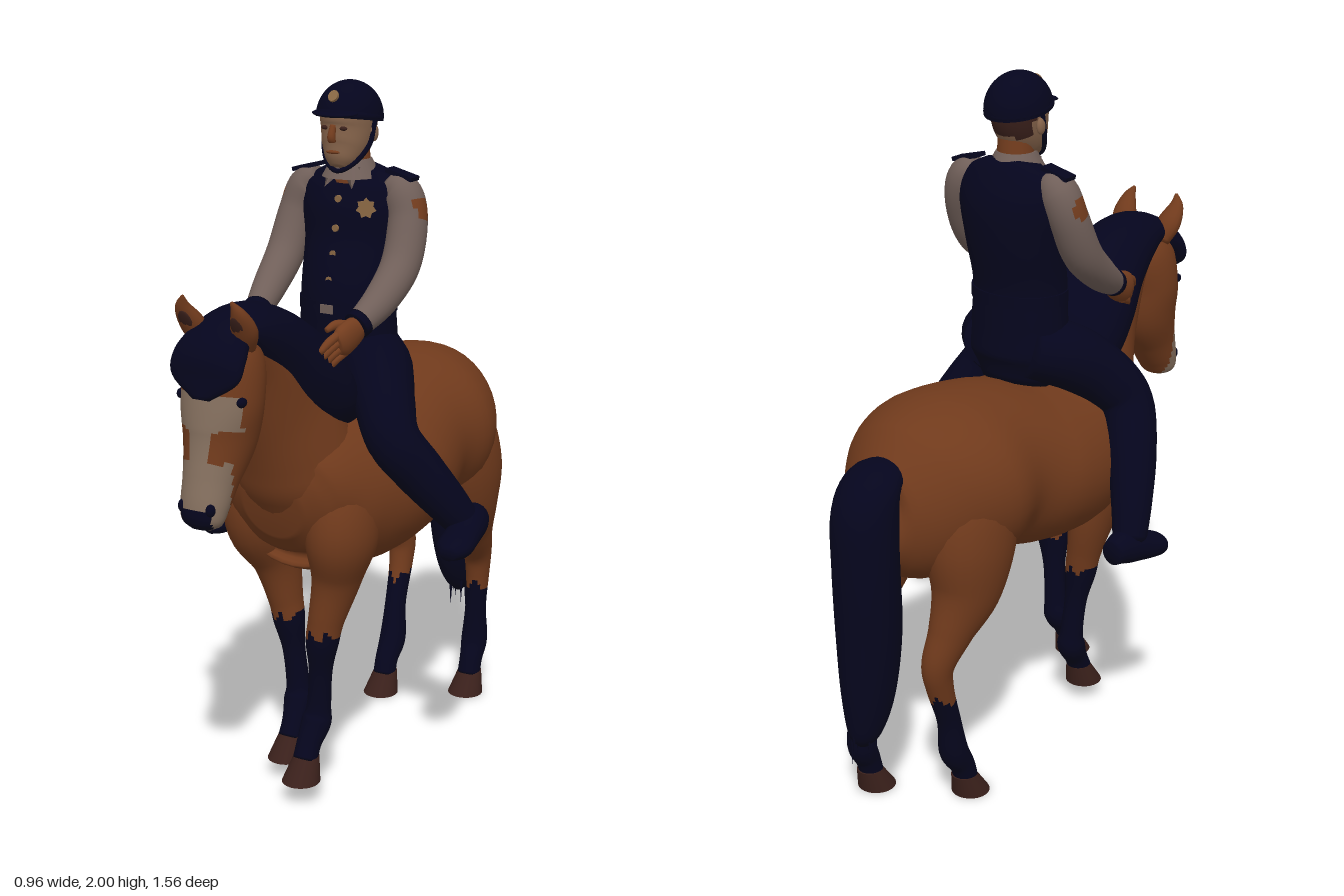
import * as THREE from 'three';

const CX = -0.03; // the plane of symmetry sits slightly off centre
const mat = (name, color) => {
  const m = new THREE.MeshStandardMaterial({ color });
  m.name = name;
  return m;
};
const M = {
  coat: mat('chestnut coat', 0x703a1c),
  navy: mat('navy cloth and hair', 0x05051d),
  shirt: mat('shirt grey', 0x705f59),
  pale: mat('pale markings', 0x846f5e),
  hoof: mat('hoof brown', 0x3a201b),
  skin: mat('skin', 0x86644b),
  tan: mat('hand skin', 0x743d1e),
  gold: mat('brass', 0x8a6844),
};

// Smooth tube through sections [x, y, z, halfWidth, halfDepth]; paint(p) picks a material per face.
function loft(name, secs, mats, paint = () => 0, radial = 24, per = 5) {
  const list = Array.isArray(mats) ? mats : [mats];
  const centre = new THREE.CatmullRomCurve3(secs.map(s => new THREE.Vector3(s[0], s[1], s[2])), false, 'catmullrom', 0.5);
  const size = new THREE.CatmullRomCurve3(secs.map(s => new THREE.Vector3(s[3], s[4] ?? s[3], 0)), false, 'catmullrom', 0.5);
  const n = (secs.length - 1) * per, pts = [];
  for (let i = -1; i <= n + 1; i++) {
    const t = Math.min(Math.max(i / n, 0), 1);
    const c = centre.getPoint(t), r = size.getPoint(t);
    if (i < 0 || i > n) r.set(0, 0, 0); // closes the ends
    const dir = centre.getTangent(t);
    const side = new THREE.Vector3(1, 0, 0).addScaledVector(dir, -dir.x).normalize();
    const up = dir.clone().cross(side);
    for (let j = 0; j < radial; j++) {
      const a = j / radial * Math.PI * 2;
      pts.push(c.clone().addScaledVector(side, Math.cos(a) * r.x).addScaledVector(up, Math.sin(a) * r.y));
    }
  }
  const faces = list.map(() => []);
  for (let i = 0; i < n + 2; i++) for (let j = 0; j < radial; j++) {
    const k = (j + 1) % radial;
    const a = i * radial + j, b = i * radial + k, c = b + radial, d = a + radial;
    const mid = pts[a].clone().add(pts[b]).add(pts[c]).add(pts[d]).multiplyScalar(0.25);
    faces[paint(mid)].push(a, b, c, a, c, d);
  }
  const g = new THREE.BufferGeometry().setFromPoints(pts);
  g.setIndex(faces.flat());
  let start = 0;
  faces.forEach((f, i) => { g.addGroup(start, f.length, i); start += f.length; });
  g.computeVertexNormals();
  const mesh = new THREE.Mesh(g, list.length > 1 ? list : list[0]);
  mesh.name = name;
  return mesh;
}

function part(name, geo, material, pos, scale = [1, 1, 1], rot = [0, 0, 0]) {
  const m = new THREE.Mesh(geo, material);
  m.name = name;
  m.position.set(...pos);
  m.scale.set(...scale);
  m.rotation.set(...rot);
  return m;
}
const mirror = secs => secs.map(([x, ...rest]) => [2 * CX - x, ...rest]);
const ball = new THREE.SphereGeometry(1, 20, 14);

function buildHorse() {
  const h = new THREE.Group();
  h.name = 'horse';
  // Barrel: [z, top, bottom, halfWidth]
  const barrel = [[-0.65, 0.98, 0.84, 0.05], [-0.62, 1.05, 0.76, 0.12], [-0.52, 1.13, 0.69, 0.21], [-0.37, 1.18, 0.69, 0.28],
    [-0.23, 1.17, 0.70, 0.265], [-0.08, 1.13, 0.655, 0.295], [0.06, 1.115, 0.635, 0.293], [0.2, 1.13, 0.65, 0.262],
    [0.3, 1.12, 0.69, 0.225], [0.37, 1.05, 0.73, 0.17], [0.41, 0.97, 0.79, 0.09]];
  h.add(loft('body', barrel.map(([z, t, b, w]) => [CX, (t + b) / 2, z, w, (t - b) / 2]), M.coat, undefined, 40));
  h.add(loft('neck', [[CX, 0.82, 0.25, 0.13, 0.12], [CX, 0.95, 0.272, 0.175, 0.168], [CX, 1.06, 0.31, 0.155, 0.167],
    [CX, 1.18, 0.375, 0.12, 0.145], [CX, 1.31, 0.46, 0.1, 0.11], [CX, 1.4, 0.56, 0.08, 0.08]], M.coat, undefined, 32));

  // Head with broken pale blaze and dark nose
  const facePaint = p => {
    const d = Math.abs(p.x - CX);
    if (p.y < 0.985 && p.z > 0.745 && d < 0.045) return 2;
    if (p.y < 1.1 && p.z > 0.702) return 1;
    if (p.y < 1.2 && d < 0.03 && p.z > 0.7) return 1;
    return p.y > 1.185 && p.y < 1.28 && p.z > 0.68 ? 1 : 0;
  };
  h.add(loft('head', [[CX, 1.45, 0.59, 0.05, 0.03], [CX, 1.36, 0.61, 0.1, 0.095], [CX, 1.25, 0.63, 0.113, 0.1],
    [CX, 1.15, 0.645, 0.098, 0.1], [CX, 1.05, 0.69, 0.076, 0.073], [CX, 0.98, 0.722, 0.067, 0.056],
    [CX, 0.94, 0.735, 0.056, 0.042], [CX, 0.922, 0.74, 0.025, 0.02]], [M.coat, M.pale, M.navy], facePaint, 36, 8));
  for (const s of [-1, 1]) {
    h.add(part('eye', ball, M.navy, [CX + s * 0.093, 1.26, 0.68], [0.012, 0.014, 0.017]));
    h.add(part('nostril', ball, M.navy, [CX + s * 0.043, 0.985, 0.757], [0.013, 0.018, 0.014]));
    h.add(loft('ear', [[CX + s * 0.065, 1.39, 0.62, 0.03, 0.025], [CX + s * 0.08, 1.44, 0.645, 0.038, 0.028],
      [CX + s * 0.085, 1.485, 0.675, 0.024, 0.018], [CX + s * 0.075, 1.52, 0.692, 0.004, 0.004]], M.coat, undefined, 14));
    h.add(part('earHollow', ball, M.hoof, [CX + s * 0.08, 1.45, 0.674], [0.02, 0.035, 0.006], [0.5, 0, 0]));
  }
  // Mane hangs over both sides of the neck and runs over the poll into the forelock
  h.add(loft('mane', [[CX, 1.09, 0.15, 0.12, 0.06], [CX, 1.165, 0.235, 0.163, 0.115], [CX, 1.25, 0.32, 0.158, 0.125],
    [CX, 1.34, 0.42, 0.13, 0.108], [CX, 1.4, 0.53, 0.105, 0.083], [CX, 1.415, 0.62, 0.09, 0.05],
    [CX, 1.37, 0.685, 0.108, 0.045], [CX, 1.315, 0.71, 0.1, 0.026], [CX, 1.265, 0.728, 0.025, 0.012]], M.navy, undefined, 32));
  h.add(loft('tail', [[CX, 1.02, -0.57, 0.06, 0.05], [CX, 1.02, -0.64, 0.085, 0.055], [CX - 0.005, 0.95, -0.685, 0.092, 0.088],
    [CX - 0.01, 0.8, -0.695, 0.092, 0.09], [CX - 0.01, 0.6, -0.69, 0.088, 0.092], [CX - 0.01, 0.42, -0.7, 0.07, 0.08],
    [CX - 0.01, 0.31, -0.72, 0.045, 0.05], [CX - 0.01, 0.27, -0.725, 0.015, 0.02]], M.navy));
  for (let i = 0; i < 7; i++) {
    h.add(part('tailStrand', new THREE.ConeGeometry(0.009, 0.14, 6), M.navy,
      [CX - 0.01 + 0.03 * Math.sin(i * 2.4), 0.295 + 0.015 * Math.cos(i * 3), -0.765 + i * 0.014], [1, 1, 1], [Math.PI, 0, 0]));
  }

  // Legs: sections from top to pastern, the foot carried by dz along z
  const foreLeg = [[0.07, 1.02, 0.21, 0.03, 0.04], [0.1, 0.92, 0.255, 0.083, 0.1], [0.113, 0.79, 0.275, 0.098, 0.12],
    [0.095, 0.66, 0.275, 0.068, 0.082], [0.075, 0.54, 0.298, 0.05, 0.056], [0.065, 0.47, 0.305, 0.047, 0.046],
    [0.055, 0.38, 0.298, 0.034, 0.033], [0.045, 0.27, 0.292, 0.035, 0.034], [0.04, 0.22, 0.298, 0.043, 0.042],
    [0.035, 0.165, 0.33, 0.036, 0.034], [0.035, 0.12, 0.352, 0.036, 0.034]];
  const hindLeg = [[0.05, 1.02, -0.38, 0.05, 0.07], [0.1, 0.93, -0.4, 0.105, 0.135], [0.12, 0.81, -0.425, 0.113, 0.145],
    [0.125, 0.68, -0.452, 0.092, 0.112], [0.115, 0.57, -0.515, 0.06, 0.07], [0.1, 0.48, -0.575, 0.045, 0.05],
    [0.095, 0.4, -0.59, 0.037, 0.04], [0.09, 0.28, -0.59, 0.033, 0.034], [0.085, 0.17, -0.595, 0.041, 0.042],
    [0.087, 0.11, -0.57, 0.036, 0.036], [0.087, 0.06, -0.555, 0.036, 0.034]];
  const hoofGeo = new THREE.CylinderGeometry(0.037, 0.055, 0.066, 24);
  const p = hoofGeo.attributes.position;
  for (let i = 0; i < p.count; i++) p.setZ(i, p.getZ(i) - p.getY(i) * 0.45);
  hoofGeo.computeVertexNormals();
  const addLeg = (name, secs, right, dz, top, range, sock, drop) => {
    const moved = (right ? mirror(secs) : secs).map(([x, y, z, a, b]) => {
      const k = THREE.MathUtils.smoothstep(top - y, 0, range);
      return [x, y - drop * k, z + dz * k, a, b];
    });
    h.add(loft(name, moved, [M.coat, M.navy], q => (q.y < sock + 0.015 * Math.sin(q.x * 140) ? 1 : 0), 24, 7));
    const f = moved[moved.length - 1];
    h.add(part(name + 'Hoof', hoofGeo, M.hoof, [f[0], f[1] - 0.022, f[2] + 0.008]));
  };
  addLeg('leftForeLeg', foreLeg, false, 0, 0.95, 0.42, 0.5, 0);
  addLeg('rightForeLeg', foreLeg, true, -0.125, 0.95, 0.5, 0.48, 0.012);
  addLeg('leftHindLeg', hindLeg, false, 0, 0.85, 0.42, 0.365, 0.005);
  addLeg('rightHindLeg', hindLeg, true, 0.14, 0.65, 0.58, 0.365, 0.005);
  return h;
}

function buildRider() {
  const r = new THREE.Group();
  r.name = 'rider';
  r.add(loft('vest', [[CX, 1.12, -0.02, 0.1, 0.08], [CX, 1.2, 0, 0.15, 0.122], [CX, 1.3, 0, 0.145, 0.118],
    [CX, 1.42, 0, 0.14, 0.115], [CX, 1.55, -0.03, 0.15, 0.105], [CX, 1.65, -0.038, 0.165, 0.1],
    [CX, 1.72, -0.035, 0.15, 0.075], [CX, 1.76, -0.025, 0.08, 0.05]], M.navy, undefined, 32));
  // Buttons, star badge and buckle
  const disc = new THREE.CylinderGeometry(0.01, 0.01, 0.008, 12).rotateX(Math.PI / 2);
  [[1.46, 0.104], [1.53, 0.083], [1.6, 0.07], [1.68, 0.055]].forEach(([y, z]) => r.add(part('button', disc, M.gold, [CX, y, z])));
  const star = new THREE.Shape();
  for (let i = 0; i < 14; i++) {
    const a = i / 14 * Math.PI * 2, q = i % 2 ? 0.021 : 0.029;
    star[i ? 'lineTo' : 'moveTo'](Math.sin(a) * q, Math.cos(a) * q);
  }
  r.add(part('badge', new THREE.ExtrudeGeometry(star, { depth: 0.008, bevelEnabled: false }), M.gold, [0.055, 1.66, 0.047], [1, 1, 1], [0, 0.36, 0]));
  r.add(part('buckle', new THREE.BoxGeometry(0.04, 0.025, 0.008), M.shirt, [CX, 1.38, 0.117]));
  r.add(part('belt', new THREE.CylinderGeometry(1, 1, 0.035, 32), M.navy, [CX, 1.38, 0], [0.145, 1, 0.118]));

  // Neck, collar, head
  r.add(part('neck', new THREE.CylinderGeometry(0.048, 0.055, 0.12, 20), M.tan, [CX, 1.78, -0.02]));
  r.add(part('collar', new THREE.CylinderGeometry(0.056, 0.084, 0.05, 20), M.shirt, [CX, 1.76, -0.018]));
  for (const s of [-1, 1]) {
    r.add(part('collarPoint', new THREE.ConeGeometry(0.028, 0.06, 4), M.shirt, [CX + s * 0.035, 1.735, 0.042], [1, 1, 0.4], [Math.PI - 0.5, 0, -s * 0.3]));
  }
  r.add(loft('head', [[CX, 1.765, 0.05, 0.025, 0.022], [CX, 1.785, 0.04, 0.046, 0.045], [CX, 1.82, 0.02, 0.064, 0.068],
    [CX, 1.87, 0, 0.074, 0.086], [CX, 1.92, -0.005, 0.076, 0.09], [CX, 1.96, -0.005, 0.06, 0.07]],
  [M.skin, M.hoof], q => (q.z < -0.03 && q.y > 1.83 ? 1 : 0), 28));
  r.add(loft('nose', [[CX, 1.885, 0.08, 0.008, 0.01], [CX, 1.855, 0.09, 0.011, 0.012], [CX, 1.84, 0.086, 0.011, 0.009]], M.tan, undefined, 12));
  r.add(part('mouth', ball, M.tan, [CX, 1.812, 0.083], [0.022, 0.005, 0.006]));
  const strap = new THREE.CatmullRomCurve3([[-0.08, 1.9, -0.01], [-0.074, 1.83, 0.01], [-0.042, 1.778, 0.045], [0, 1.757, 0.06],
    [0.042, 1.778, 0.045], [0.074, 1.83, 0.01], [0.08, 1.9, -0.01]].map(([x, y, z]) => new THREE.Vector3(CX + x, y, z)));
  r.add(part('chinStrap', new THREE.TubeGeometry(strap, 32, 0.007, 8), M.navy, [0, 0, 0]));
  for (const s of [-1, 1]) {
    r.add(part('ear', ball, M.skin, [CX + s * 0.077, 1.86, -0.01], [0.01, 0.024, 0.016]));
    r.add(part('eye', ball, M.hoof, [CX + s * 0.029, 1.877, 0.075], [0.012, 0.006, 0.006]));
  }
  // Helmet with a short peak
  const dome = new THREE.SphereGeometry(1, 32, 18, 0, Math.PI * 2, 0, Math.PI * 0.52);
  r.add(part('helmet', dome, M.navy, [CX, 1.9, -0.008], [0.09, 0.1, 0.104], [-0.15, 0, 0]));
  r.add(part('helmetRim', new THREE.TorusGeometry(1, 0.07, 10, 36).rotateX(Math.PI / 2), M.navy, [CX, 1.903, -0.006], [0.085, 0.15, 0.1], [-0.15, 0, 0]));
  r.add(part('helmetPeak', ball, M.navy, [CX, 1.917, 0.07], [0.07, 0.01, 0.042], [0.1, 0, 0]));
  r.add(part('helmetBadge', disc, M.gold, [CX, 1.963, 0.078], [1.5, 1.7, 1], [-0.6, 0, 0]));

  // Arms, shoulder straps and hands
  const arm = [[0.08, 1.72, -0.035, 0.035], [0.122, 1.695, -0.035, 0.055], [0.148, 1.62, -0.02, 0.056], [0.157, 1.51, 0.035, 0.055],
    [0.15, 1.43, 0.13, 0.048], [0.132, 1.375, 0.225, 0.036]];
  const palm = [[0.132, 1.378, 0.21, 0.028, 0.028], [0.13, 1.36, 0.25, 0.027, 0.043], [0.127, 1.345, 0.295, 0.025, 0.044], [0.123, 1.338, 0.315, 0.016, 0.03]];
  const sleevePaint = q => (Math.abs(q.x - CX) > 0.2 && q.y > 1.63 && q.y < 1.685 && Math.abs(q.z + 0.025) < 0.028 ? 1 : 0);
  const fingers = [0, 1, 2, 3].map(i => {
    const y = 1.37 - i * 0.019, z = 0.3 - i * 0.008;
    return [[0.126, y, z, 0.012], [0.117, y - 0.018, z + 0.045, 0.012], [0.105, y - 0.042, z + 0.073 - i * 0.006, 0.008]];
  });
  const thumb = [[0.12, 1.38, 0.25, 0.014], [0.1, 1.385, 0.285, 0.013], [0.09, 1.375, 0.315, 0.008]];
  for (const s of [1, -1]) {
    const f = s > 0 ? q => q : mirror;
    r.add(loft('sleeve', f(arm), [M.shirt, M.tan], sleevePaint, 24, 7));
    r.add(part('shoulderStrap', new THREE.BoxGeometry(0.085, 0.012, 0.045), M.navy, [CX + s * 0.152, 1.748, -0.034], [1, 1, 1], [0, 0, -s * 0.25]));
    r.add(loft('cuff', f([[0.137, 1.385, 0.21, 0.04], [0.131, 1.374, 0.23, 0.039]]), M.navy));
    r.add(loft('hand', f(palm), M.tan, undefined, 16));
    [...fingers, thumb].forEach(q => r.add(loft('finger', f(q), M.tan, undefined, 10, 4)));
  }

  // Legs, posed separately on each side, with boots
  r.add(loft('leftLeg', [[0.02, 1.23, -0.03, 0.1, 0.09], [0.1, 1.21, 0.06, 0.1, 0.095], [0.18, 1.15, 0.16, 0.085, 0.085],
    [0.24, 1.07, 0.215, 0.075], [0.3, 0.98, 0.18, 0.07], [0.36, 0.89, 0.135, 0.06], [0.405, 0.82, 0.1, 0.048]], M.navy, undefined, 24, 6));
  r.add(loft('leftBoot', [[0.405, 0.82, 0.03, 0.035, 0.035], [0.412, 0.825, 0.08, 0.05, 0.05], [0.422, 0.805, 0.15, 0.05, 0.04],
    [0.432, 0.792, 0.22, 0.05, 0.032], [0.435, 0.785, 0.26, 0.022, 0.018]], M.navy));
  r.add(loft('rightLeg', [[-0.08, 1.23, -0.03, 0.1, 0.09], [-0.16, 1.2, 0.05, 0.1, 0.095], [-0.235, 1.13, 0.13, 0.085, 0.085],
    [-0.29, 1.05, 0.165, 0.075], [-0.345, 0.93, 0.11, 0.07], [-0.39, 0.81, 0.045, 0.058], [-0.415, 0.71, 0.0, 0.047]], M.navy, undefined, 24, 6));
  r.add(loft('rightBoot', [[-0.405, 0.7, -0.075, 0.032, 0.035], [-0.412, 0.705, -0.02, 0.048, 0.05], [-0.425, 0.69, 0.04, 0.05, 0.042],
    [-0.432, 0.675, 0.1, 0.05, 0.034], [-0.435, 0.665, 0.135, 0.022, 0.018]], M.navy));
  return r;
}

export function createModel() {
  const model = new THREE.Group();
  model.name = 'mountedRider';
  model.add(buildHorse(), buildRider());
  return model;
}
